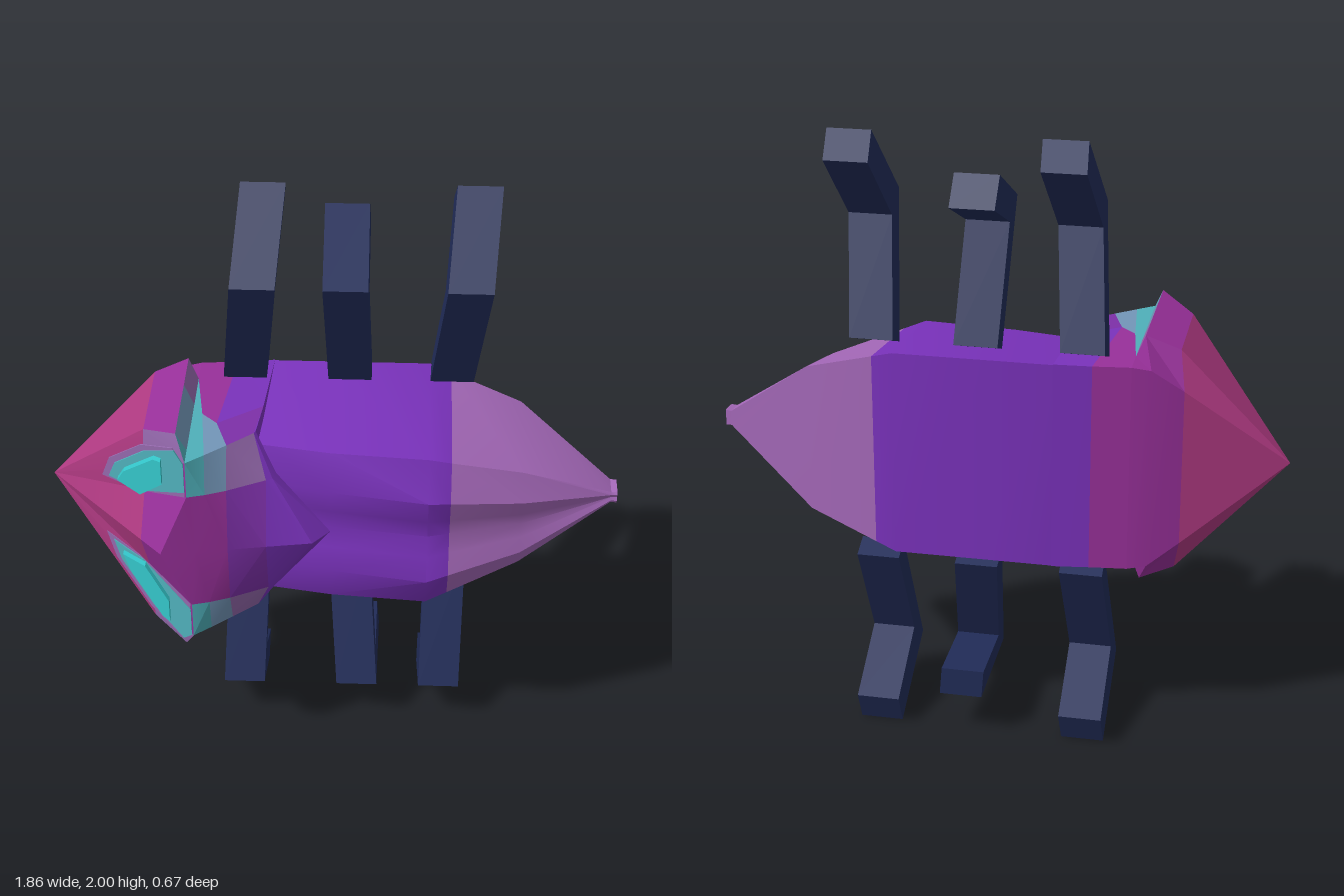
import * as THREE from 'three';
import { toCreasedNormals } from 'three/addons/utils/BufferGeometryUtils.js';

const CY = 0.965; // height of the long axis

const mat = (name, color) => {
  const m = new THREE.MeshStandardMaterial({ color });
  m.name = name;
  return m;
};

// Skin a list of half sections (belly to spine, [x, offset, z]), mirrored across the axis.
// pick(row, strip) gives the material; strip 0 starts at the belly, -1 is the belly itself.
function loft(name, rows, pick, crease) {
  const rings = rows.map(h => {
    const other = h.slice(0, -1).reverse().map(([x, y, z]) => [x, -y, z]);
    return [...h, ...other].map(([x, y, z]) => [x, CY + y, z]);
  });
  const n = rings[0].length;
  const buckets = new Map();
  for (let i = 0; i < rings.length - 1; i++) {
    for (let j = 0; j < n; j++) {
      const k = (j + 1) % n;
      const m = pick(i, j === n - 1 ? -1 : Math.min(j, n - 2 - j));
      if (!buckets.has(m)) buckets.set(m, []);
      const a = rings[i][j], b = rings[i][k], c = rings[i + 1][k], d = rings[i + 1][j];
      // mirrored diagonals keep both halves alike
      if (j < n / 2 - 1) buckets.get(m).push(...a, ...b, ...c, ...a, ...c, ...d);
      else buckets.get(m).push(...a, ...b, ...d, ...b, ...c, ...d);
    }
  }
  const pos = [];
  let geo = new THREE.BufferGeometry();
  [...buckets.values()].forEach((list, g) => {
    geo.addGroup(pos.length / 3, list.length / 3, g);
    for (const v of list) pos.push(v);
  });
  geo.setAttribute('position', new THREE.Float32BufferAttribute(pos, 3));
  geo = toCreasedNormals(geo, crease);
  const mesh = new THREE.Mesh(geo, [...buckets.keys()]);
  mesh.name = name;
  return mesh;
}

// Flat polygon laid on the sloping face of the head
function facePlate(name, pts, side, thick, material) {
  const shape = new THREE.Shape(pts.map(([x, y]) => new THREE.Vector2(x, CY + side * y)));
  const geo = new THREE.ExtrudeGeometry(shape, { depth: thick, bevelEnabled: false });
  const p = geo.attributes.position;
  for (let i = 0; i < p.count; i++) {
    p.setZ(i, p.getZ(i) - 0.09 + 0.837 * (p.getX(i) + 0.93));
  }
  geo.computeVertexNormals();
  const mesh = new THREE.Mesh(geo, material);
  mesh.name = name;
  return mesh;
}

// Bent leg: side outline (z, reach) extruded across x, leaning along x as it reaches out
function leg(name, x, lean, side, outline, material) {
  const base = side > 0 ? 1.31 : 0.61;
  const shape = new THREE.Shape(outline.map(([z, d]) => new THREE.Vector2(-z, base + side * d)));
  const geo = new THREE.ExtrudeGeometry(shape, { depth: 0.14, bevelEnabled: false });
  geo.rotateY(Math.PI / 2);
  const p = geo.attributes.position;
  for (let i = 0; i < p.count; i++) {
    p.setX(i, p.getX(i) + x + lean * Math.abs(p.getY(i) - base) / 0.65);
  }
  geo.computeVertexNormals();
  const mesh = new THREE.Mesh(geo, material);
  mesh.name = name;
  return mesh;
}

export function createModel() {
  const model = new THREE.Group();
  model.name = 'beetle';
  const shell = mat('shell purple', 0x7a32bc);
  const tail = mat('tail lilac', 0xa468b8);
  const berry = mat('snout berry', 0xb03a82);
  const plum = mat('head plum', 0x98309a);
  const violet = mat('shield violet', 0x7d30a8);
  const teal = mat('halo teal', 0x4fb0ba);
  const steel = mat('halo steel', 0x7396b8);
  const haze = mat('halo mauve', 0x9468ac);
  const cyan = mat('eye cyan', 0x34c6ca);
  const navy = mat('leg navy', 0x212c58);

  // Abdomen: flat belly, sloped flanks, two soft ridges along the top
  const body = [ // x, belly half, top half, belly z, corner z, ridge z, groove z
    [-0.30, 0.33, 0.28, -0.25, 0.11, 0.12, 0.11],
    [-0.20, 0.345, 0.285, -0.27, 0.13, 0.16, 0.13],
    [0.00, 0.345, 0.285, -0.27, 0.165, 0.2, 0.17],
    [0.31, 0.345, 0.285, -0.27, 0.19, 0.25, 0.21],
    [0.38, 0.323, 0.26, -0.254, 0.17, 0.228, 0.192],
    [0.61, 0.25, 0.18, -0.2, 0.1, 0.155, 0.13],
    [0.91, 0.025, 0.02, -0.09, -0.025, -0.02, -0.025],
    [0.93, 0.027, 0.022, -0.085, -0.025, -0.02, -0.025],
    [0.93, 0, 0, -0.05, -0.05, -0.05, -0.05],
  ].map(([x, hb, ht, zb, zc, zr, zm]) =>
    [[x, hb, zb], [x, ht, zc], [x, ht * 0.55, zr], [x, ht * 0.25, (zr + zm) / 2], [x, 0, zm]]);
  model.add(loft('abdomen', body, i => (i < 4 ? shell : tail), 0.6));

  // Neck and pointed shield overhanging the abdomen
  const neck = [
    [[-0.44, 0.345, -0.245], [-0.44, 0.345, -0.15], [-0.44, 0.345, 0.32], [-0.44, 0.215, 0.32], [-0.53, 0, 0.335]],
    [[-0.39, 0.345, -0.25], [-0.41, 0.345, 0.05], [-0.385, 0.345, 0.275], [-0.385, 0.215, 0.305], [-0.42, 0, 0.32]],
    [[-0.32, 0.345, -0.258], [-0.36, 0.345, 0.1], [-0.32, 0.345, 0.22], [-0.32, 0.215, 0.28], [-0.32, 0, 0.303]],
    [[-0.2, 0.347, -0.27], [-0.22, 0.345, 0.0], [-0.24, 0.345, 0.15], [-0.2, 0.215, 0.22], [-0.2, 0, 0.283]],
    [[-0.2, 0.347, -0.27], [-0.22, 0.345, 0.0], [-0.24, 0.345, 0.15], [-0.18, 0.215, 0.21], [-0.055, 0, 0.26]],
    [[-0.2, 0.347, -0.27], [-0.22, 0.345, 0.0], [-0.235, 0.345, 0.14], [-0.17, 0.215, 0.18], [0, 0, 0.195]],
    [[-0.2, 0.3, -0.26], [-0.22, 0.28, 0.0], [-0.23, 0.26, 0.1], [-0.2, 0.2, 0.11], [-0.2, 0, 0.11]],
  ];
  model.add(loft('neckShield', neck, (i, s) => {
    const haloStrip = s === 1 || s === 2;
    if (i === 0) return haloStrip ? teal : plum;
    if (i === 1) return haloStrip ? steel : plum;
    if (i === 2 && s > 0) return s === 2 ? haze : violet;
    return shell;
  }, 0.35));

  // Head: faceted point flaring to a crest, then stepping in to the neck
  const tip = [-0.93, 0, -0.09];
  const head = [
    [tip, tip, tip, tip, tip, tip, tip],
    [[-0.6, 0.26, -0.2], [-0.58, 0.375, -0.14], [-0.58, 0.375, 0], [-0.58, 0.375, 0.185],
      [-0.587, 0.24, 0.197], [-0.587, 0.15, 0.197], [-0.6, 0, 0.261]],
    [[-0.5, 0.335, -0.235], [-0.47, 0.42, -0.155], [-0.47, 0.42, 0], [-0.47, 0.42, 0.27],
      [-0.44, 0.345, 0.32], [-0.44, 0.215, 0.32], [-0.53, 0, 0.335]],
    [[-0.44, 0.345, -0.245], [-0.44, 0.345, -0.15], [-0.44, 0.345, 0], [-0.44, 0.345, 0.25],
      [-0.44, 0.345, 0.32], [-0.44, 0.215, 0.32], [-0.53, 0, 0.335]],
  ];
  const crestBack = [plum, haze, steel, teal, teal, plum];
  model.add(loft('head', head, (i, s) => {
    if (i === 0) return berry;
    if (i === 2) return crestBack[s] ?? plum;
    return s === 3 ? haze : plum;
  }, 0.3));

  // Eyes with two-tone halos
  const halo = [[-0.74, 0.115], [-0.71, 0.2], [-0.59, 0.325], [-0.48, 0.38], [-0.445, 0.34],
    [-0.445, 0.215], [-0.55, 0.165], [-0.62, 0.135]];
  const inner = [[-0.715, 0.13], [-0.69, 0.195], [-0.58, 0.31], [-0.475, 0.375], [-0.445, 0.34],
    [-0.445, 0.235], [-0.53, 0.185], [-0.61, 0.14]];
  const eye = [[-0.68, 0.15], [-0.655, 0.2], [-0.545, 0.315], [-0.52, 0.32], [-0.52, 0.235], [-0.6, 0.145]];
  for (const side of [1, -1]) {
    const g = new THREE.Group();
    g.name = side > 0 ? 'upperEye' : 'lowerEye';
    g.add(
      facePlate('haloOuter', halo, side, 0.004, haze),
      facePlate('haloInner', inner, side, 0.008, teal),
      facePlate('eye', eye, side, 0.03, cyan));
    model.add(g);
  }

  // Six bent legs; the middle pair curls tighter
  const outline = (kneeIn, endOuter, endInner) =>
    [[-0.24, 0.03], [-0.165, 0], [0.03, 0.445], endOuter, endInner, [-0.085, kneeIn]];
  const upper = outline(0.39, [-0.2, 0.69], [-0.28, 0.61]);
  const upperMid = outline(0.39, [-0.26, 0.59], [-0.33, 0.5]);
  const lower = outline(0.37, [-0.29, 0.61], [-0.33, 0.51]);
  const lowerMid = outline(0.37, [-0.335, 0.465], [-0.335, 0.37]);
  model.add(
    leg('upperFrontLeg', -0.36, 0.065, 1, upper, navy),
    leg('upperMiddleLeg', -0.02, -0.015, 1, upperMid, navy),
    leg('upperRearLeg', 0.31, 0.06, 1, upper, navy),
    leg('lowerFrontLeg', -0.36, -0.025, -1, lower, navy),
    leg('lowerMiddleLeg', -0.02, 0.05, -1, lowerMid, navy),
    leg('lowerRearLeg', 0.31, -0.015, -1, lower, navy));
  return model;
}
